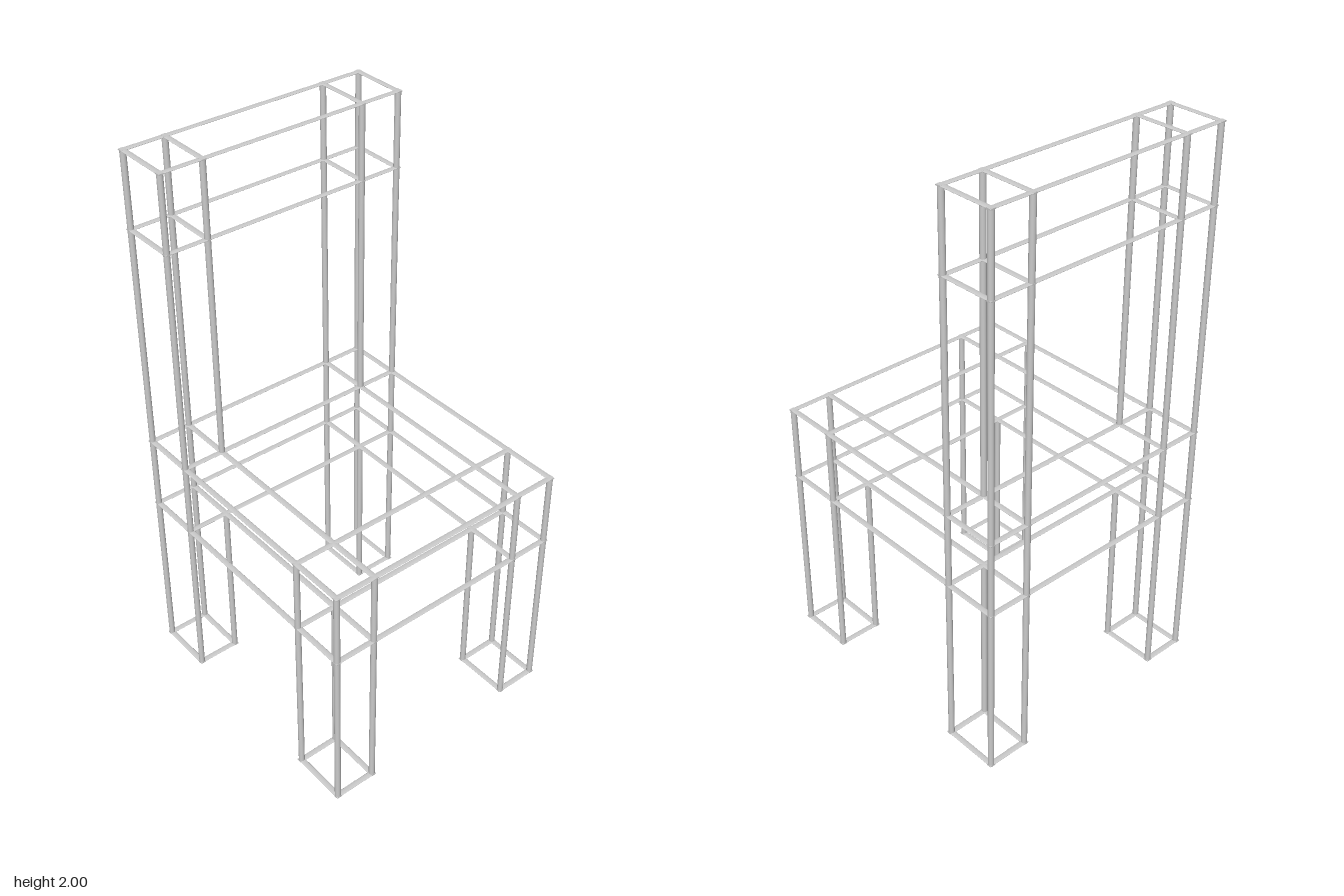
import * as THREE from 'three';

const W = 0.021;  // strut width
const T = 0.005;  // thickness of the flattened horizontal struts
const XO = 0.453, XI = 0.304; // outer and inner strut lines across
const ZO = 0.5, ZI = 0.302;   // outer and inner strut lines in depth
const FOOT = T / 2, SEAT_LOW = 0.64, SEAT_TOP = 0.912, RAIL_LOW = 1.73, TOP = 2 - T / 2;

export function createModel() {
  const model = new THREE.Group();
  const material = new THREE.MeshStandardMaterial({ color: 0xcccccc });

  const group = (name) => {
    const g = new THREE.Group();
    g.name = name;
    model.add(g);
    return g;
  };

  // Round rod of unit size along x, y or z, scaled to its oval section and length
  const rod = (parent, name, axis, w, h, d, x, y, z) => {
    const geometry = new THREE.CylinderGeometry(0.5, 0.5, 1, 16);
    if (axis === 'x') geometry.rotateZ(Math.PI / 2);
    if (axis === 'z') geometry.rotateX(Math.PI / 2);
    geometry.scale(w, h, d);
    const mesh = new THREE.Mesh(geometry, material);
    mesh.name = name;
    mesh.position.set(x, y, z);
    parent.add(mesh);
  };
  const upright = (parent, x, z, y0, y1) =>
    rod(parent, 'upright', 'y', W, y1 - y0, W, x, (y0 + y1) / 2, z);

  // Flat grid of struts through all the given x and z lines
  const grid = (parent, xs, zs, y) => {
    const x0 = Math.min(...xs), x1 = Math.max(...xs);
    const z0 = Math.min(...zs), z1 = Math.max(...zs);
    for (const z of zs) rod(parent, 'crossStrut', 'x', x1 - x0 + W, T, W, (x0 + x1) / 2, y, z);
    for (const x of xs) rod(parent, 'depthStrut', 'z', W, T, z1 - z0 + W, x, y, (z0 + z1) / 2);
  };

  const allX = [-XO, -XI, XI, XO];
  const allZ = [-ZO, -ZI, ZI, ZO];

  // Four legs: a square foot and four uprights each
  for (const sx of [-1, 1]) for (const sz of [-1, 1]) {
    const leg = group((sz > 0 ? 'front' : 'back') + (sx > 0 ? 'Left' : 'Right') + 'Leg');
    const xs = [sx * XI, sx * XO], zs = [sz * ZI, sz * ZO];
    grid(leg, xs, zs, FOOT);
    for (const x of xs) for (const z of zs) upright(leg, x, z, 0, SEAT_LOW);
  }

  // Seat: two grids joined by uprights around the rim only
  const seat = group('seat');
  for (const y of [SEAT_LOW, SEAT_TOP]) grid(seat, allX, allZ, y);
  for (const x of allX) for (const z of allZ) {
    if (Math.abs(x) === XO || Math.abs(z) === ZO) upright(seat, x, z, SEAT_LOW, SEAT_TOP);
  }

  // Backrest posts
  const backZ = [-ZO, -ZI];
  for (const sx of [-1, 1]) {
    const post = group((sx > 0 ? 'left' : 'right') + 'BackPost');
    for (const x of [sx * XI, sx * XO]) for (const z of backZ) upright(post, x, z, SEAT_TOP, 2);
  }

  // Top rail of the backrest
  const rail = group('topRail');
  for (const y of [RAIL_LOW, TOP]) grid(rail, allX, backZ, y);

  return model;
}
